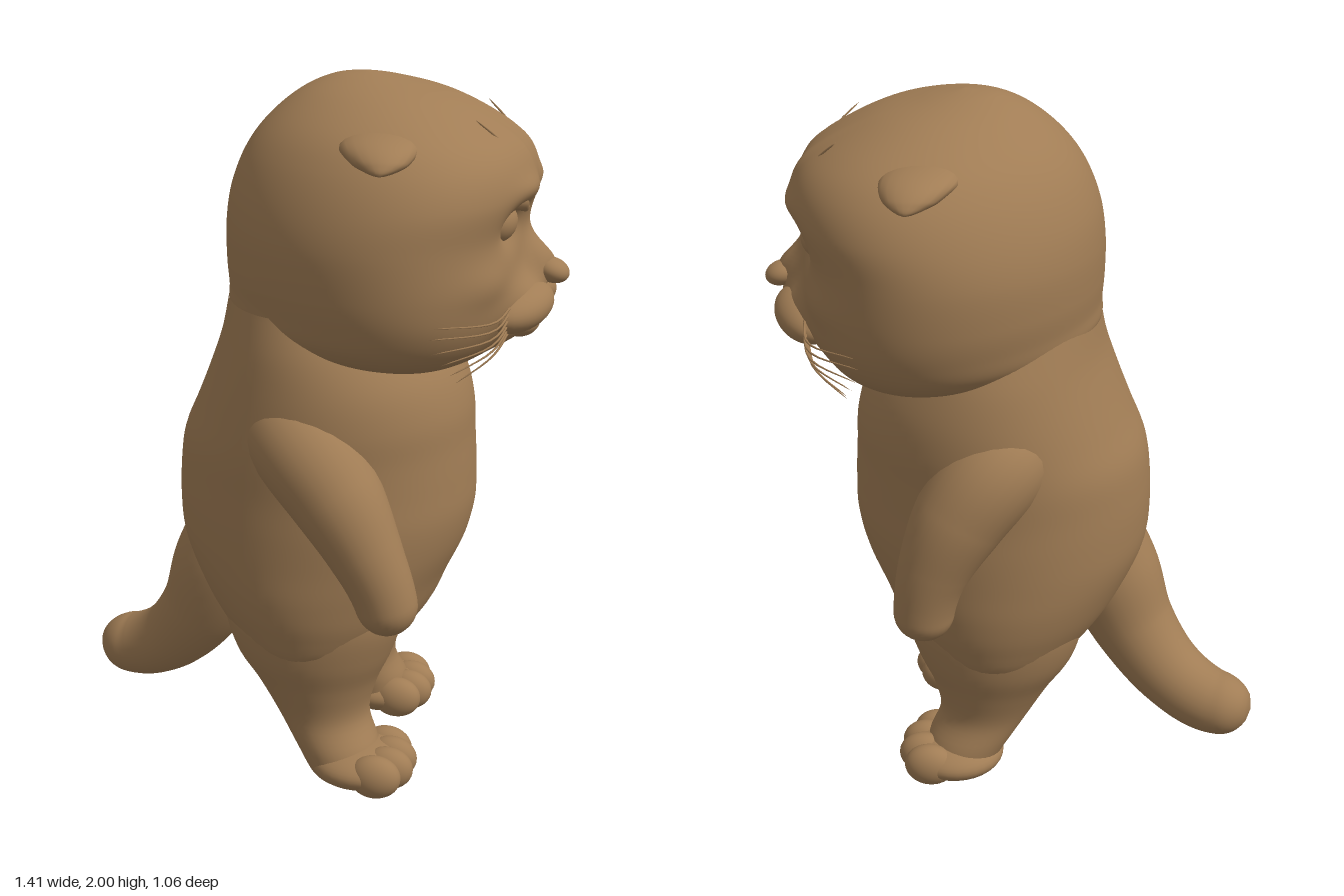
import * as THREE from 'three';
import { mergeVertices } from 'three/addons/utils/BufferGeometryUtils.js';

const fur = new THREE.MeshStandardMaterial({ color: 0xa17d55 });
fur.name = 'brown fur';

// Weld seams and recompute smooth normals
function smooth(geo) {
  geo.deleteAttribute('normal');
  geo.deleteAttribute('uv');
  const g = mergeVertices(geo, 1e-4);
  g.computeVertexNormals();
  return g;
}

function add(parent, name, geo) {
  const m = new THREE.Mesh(geo, fur);
  m.name = name;
  parent.add(m);
  return m;
}

// Catmull-Rom sample through rows of numbers
function sampleRows(rows, t) {
  const f = t * (rows.length - 1), i = Math.min(Math.floor(f), rows.length - 2), u = f - i;
  const at = k => rows[Math.max(0, Math.min(rows.length - 1, k))];
  return rows[i].map((_, c) => {
    const a = at(i - 1)[c], b = at(i)[c], d = at(i + 1)[c], e = at(i + 2)[c];
    return b + 0.5 * u * (d - a + u * (2 * a - 5 * b + 4 * d - e + u * (3 * (b - d) + e - a)));
  });
}

// Loft of ellipses; row = [y at back, y at front, x back, x front, half width, z centre]
// egg widens the front and narrows the back; bumps sculpt the front
function loft(rows, { bumps = [], egg = 0, rings = 60, sides = 72 } = {}) {
  const pos = [], idx = [];
  for (let i = 0; i <= rings; i++) {
    const [yb, yf, xb, xf, w, zc = 0] = sampleRows(rows, i / rings);
    for (let j = 0; j <= sides; j++) {
      const a = (j % sides) / sides * Math.PI * 2, c = Math.cos(a), k = (c + 1) / 2;
      let x = xb + (xf - xb) * k;
      const y = yb + (yf - yb) * k, z = w * Math.sin(a) * (1 + egg * c);
      // bump = [y, z, y spread, z spread, height], mirrored in z
      for (const [by, bz, sy, sz, amp] of bumps)
        x += Math.max(0, c) * amp * Math.exp(-(((y - by) / sy) ** 2) - ((Math.abs(z) - bz) / sz) ** 2);
      pos.push(x, y, z + zc);
      if (i < rings && j < sides) {
        const p = i * (sides + 1) + j, q = p + sides + 1;
        idx.push(p, q, p + 1, q, q + 1, p + 1);
      }
    }
  }
  const g = new THREE.BufferGeometry();
  g.setAttribute('position', new THREE.Float32BufferAttribute(pos, 3));
  g.setIndex(idx);
  return smooth(g);
}

// Tapered tube with a rounded tip; point = [x, y, z, radius]
function limb(points, cap = 0.12, segs = 80, sides = 28) {
  const curve = new THREE.CatmullRomCurve3(points.map(p => new THREE.Vector3(p[0], p[1], p[2])));
  const g = new THREE.TubeGeometry(curve, segs, 1, sides);
  const p = g.attributes.position, v = new THREE.Vector3();
  for (let i = 0; i <= segs; i++) {
    const t = i / segs, c = curve.getPointAt(t);
    let r = sampleRows(points, curve.getUtoTmapping(t))[3];
    if (t > 1 - cap) r *= Math.sqrt(Math.max(0, 1 - ((t - 1 + cap) / cap) ** 2));
    for (let j = 0; j <= sides; j++) {
      const k = i * (sides + 1) + j;
      v.fromBufferAttribute(p, k).sub(c).multiplyScalar(r).add(c);
      p.setXYZ(k, v.x, v.y, v.z);
    }
  }
  return smooth(g);
}

function ellipsoid(parent, name, [x, y, z], [rx, ry, rz], rot = [0, 0, 0]) {
  const m = add(parent, name, new THREE.SphereGeometry(1, 32, 20));
  m.position.set(x, y, z);
  m.scale.set(rx, ry, rz);
  m.rotation.set(...rot);
}

export function createModel() {
  const model = new THREE.Group();
  model.name = 'standingCat';

  // Pear-shaped torso
  add(model, 'body', loft([
    [0.27, 0.27, 0.03, 0.06, 0.01], [0.31, 0.31, -0.1, 0.16, 0.22],
    [0.4, 0.4, -0.2, 0.27, 0.365], [0.5, 0.5, -0.28, 0.35, 0.41],
    [0.6, 0.6, -0.335, 0.395, 0.428], [0.7, 0.7, -0.375, 0.44, 0.432],
    [0.8, 0.8, -0.385, 0.463, 0.435], [0.9, 0.9, -0.382, 0.463, 0.435],
    [1.0, 1.0, -0.367, 0.457, 0.44], [1.1, 1.1, -0.325, 0.45, 0.445],
    [1.2, 1.2, -0.285, 0.42, 0.44], [1.3, 1.3, -0.25, 0.36, 0.42],
    [1.4, 1.4, -0.23, 0.3, 0.38]]));

  // Head, turned slightly to the model's right, with sculpted face
  const head = new THREE.Group();
  head.name = 'head';
  head.rotation.y = 0.055;
  model.add(head);
  add(head, 'skull', loft([
    [1.33, 1.22, -0.1, 0.36, 0.26], [1.35, 1.235, -0.21, 0.43, 0.38],
    [1.38, 1.28, -0.235, 0.51, 0.44], [1.43, 1.36, -0.235, 0.56, 0.475],
    [1.5, 1.46, -0.24, 0.575, 0.495], [1.6, 1.6, -0.24, 0.58, 0.5],
    [1.7, 1.71, -0.225, 0.605, 0.482], [1.8, 1.8, -0.185, 0.585, 0.435],
    [1.88, 1.87, -0.125, 0.515, 0.36], [1.95, 1.94, -0.04, 0.385, 0.23],
    [1.99, 1.98, 0.05, 0.25, 0.1], [2.0, 2.0, 0.14, 0.14, 0]],
  {
    egg: 0.13, rings: 130, sides: 144,
    bumps: [
      [1.63, 0.175, 0.055, 0.08, -0.04],  // eye sockets
      [1.72, 0.14, 0.035, 0.1, 0.018],    // brows
      [1.5, 0, 0.07, 0.055, 0.08],        // nose bridge
      [1.415, 0.1, 0.065, 0.115, 0.065],  // muzzle
      [1.31, 0, 0.055, 0.1, 0.05],        // chin
      [1.5, 0.33, 0.06, 0.1, 0.02],       // cheeks
      [1.82, 0.08, 0.09, 0.025, 0.008],   // forehead folds
    ],
  }));
  ellipsoid(head, 'nose', [0.652, 1.475, 0], [0.05, 0.034, 0.05], [0, 0, -0.3]);
  ellipsoid(head, 'lowerLip', [0.57, 1.335, 0], [0.058, 0.048, 0.085]);

  // Tail curling backward and to one side
  add(model, 'tail', limb([
    [-0.16, 0.78, 0.02, 0.15], [-0.27, 0.56, 0.02, 0.15], [-0.35, 0.39, 0, 0.125],
    [-0.46, 0.26, -0.045, 0.107], [-0.58, 0.195, -0.09, 0.098], [-0.71, 0.19, -0.12, 0.085]], 0.1));

  for (const s of [1, -1]) {
    const side = s > 0 ? 'left' : 'right';
    const armLag = s > 0 ? 0 : 0.1, footLag = s > 0 ? 0 : 0.03; // right limbs held further back

    // Eyes, scowling brows and whisker pads
    ellipsoid(head, side + 'Eye', [0.512, 1.64, 0.177 * s], [0.05, 0.055, 0.07], [0, -0.35 * s, 0]);
    add(head, side + 'Brow', limb([
      [0.575, 1.66, 0.07 * s, 0.015], [0.562, 1.69, 0.14 * s, 0.026],
      [0.53, 1.703, 0.21 * s, 0.024], [0.465, 1.69, 0.28 * s, 0.012]], 0.15, 24, 16));
    ellipsoid(head, side + 'WhiskerPad', [0.57, 1.4, 0.112 * s], [0.085, 0.062, 0.142], [0.14 * s, -0.38 * s, 0]);

    // Folded ear: thin flap drooping sideways over the temple
    const ear = add(head, side + 'Ear', limb([
      [0.2, 1.953, 0.27 * s, 0.09], [0.225, 1.924, 0.36 * s, 0.1],
      [0.24, 1.853, 0.44 * s, 0.07], [0.245, 1.8, 0.5 * s, 0.02]], 0.12, 30, 20));
    ear.scale.y = 0.35;
    ear.position.y = 1.81 * 0.65;

    // Whiskers sweeping back along the cheek
    [[0.38, 1.43, 0.5], [0.37, 1.4, 0.5], [0.38, 1.36, 0.49], [0.4, 1.32, 0.45],
      [0.42, 1.28, 0.4], [0.43, 1.24, 0.33]].forEach(([x, y, z], i) => {
      add(head, side + 'Whisker', limb([
        [0.56, 1.42 - i * 0.012, (0.2 - i * 0.005) * s, 0.004],
        [0.52, 1.415 - i * 0.022, (z * 0.5 + 0.12) * s, 0.003],
        [x, y, z * s, 0.0015]], 0.05, 10, 5));
    });
    add(head, side + 'BrowWhisker', limb([
      [0.53, 1.83, 0.15 * s, 0.003], [0.49, 1.87, 0.175 * s, 0.003], [0.45, 1.905, 0.2 * s, 0.002]], 0.1, 6, 5));

    // Arm sloping from the shoulder into a mitten paw
    add(model, side + 'Arm', limb([
      [-0.1, 1.12, 0.2, 0.1], [0.03, 1.06, 0.34, 0.138], [0.15, 0.93, 0.4, 0.127],
      [0.24, 0.78, 0.425, 0.1], [0.285, 0.68, 0.428, 0.087], [0.315, 0.565, 0.425, 0.08],
    ].map(([x, y, z, r], i) => [x - armLag * i / 5, y, z * s, r]), 0.1));

    // Leg sloping forward into the foot
    add(model, side + 'Leg', loft([
      [0.01, 0.01, 0.09, 0.22, 0.08, 0.24], [0.04, 0.04, 0.045, 0.24, 0.11, 0.235],
      [0.11, 0.11, 0.0, 0.24, 0.118, 0.225], [0.2, 0.2, -0.06, 0.205, 0.125, 0.2],
      [0.3, 0.3, -0.12, 0.225, 0.155, 0.193], [0.4, 0.4, -0.185, 0.268, 0.185, 0.195],
      [0.52, 0.52, -0.215, 0.3, 0.193, 0.2], [0.65, 0.65, -0.2, 0.28, 0.17, 0.2],
    ].map(row => [...row.slice(0, 5), row[5] * s]), { rings: 36, sides: 40 }));
    ellipsoid(model, side + 'Foot', [0.19 - footLag, 0.066, 0.245 * s], [0.145, 0.063, 0.14]);
    [[0.25, 0.155], [0.275, 0.213], [0.275, 0.277], [0.25, 0.335]].forEach(([x, z]) =>
      ellipsoid(model, side + 'Toe', [x - footLag, 0.067, z * s], [0.075, 0.063, 0.05]));
  }
  return model;
}
